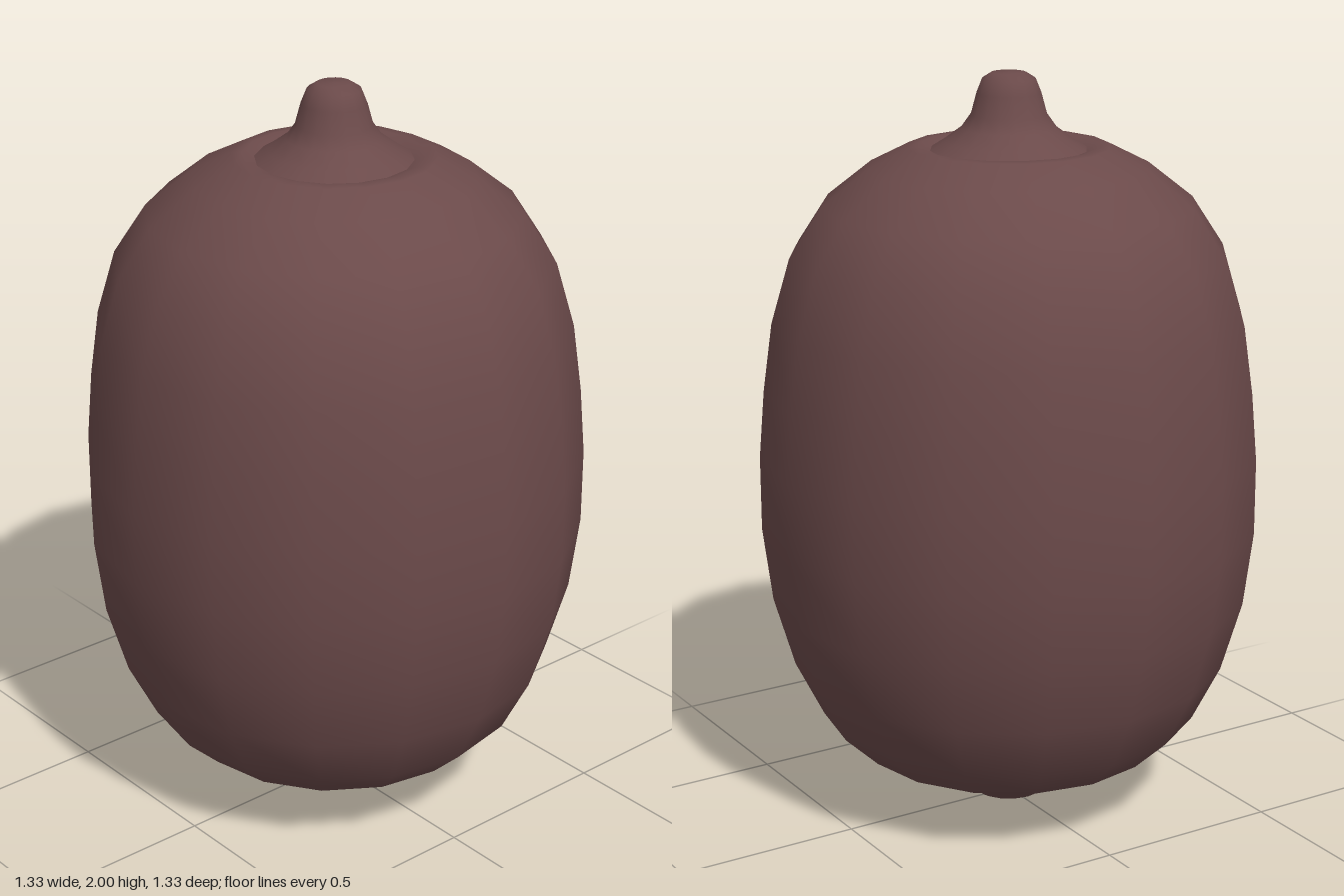
import * as THREE from 'three';

const SIDES = 16;

// Smooth surface of revolution from [radius, height] pairs, bottom to top
function turned(name, profile, material) {
  const points = profile.map(([r, y]) => new THREE.Vector2(r, y));
  const mesh = new THREE.Mesh(new THREE.LatheGeometry(points, SIDES), material);
  mesh.name = name;
  return mesh;
}

export function createModel() {
  const group = new THREE.Group();
  group.name = 'fruit';
  const skin = new THREE.MeshStandardMaterial({ color: 0x6b4a4a });

  // Plump body with a small blossom end below and a shallow hollow on top
  group.add(turned('body', [
    [0, 0.012], [0.03, 0.008], [0.065, 0], [0.1, 0.012], [0.145, 0.045], [0.195, 0.078],
    [0.3, 0.12], [0.415, 0.17], [0.51, 0.26], [0.585, 0.41], [0.64, 0.6],
    [0.665, 0.8], [0.665, 1.0], [0.65, 1.18], [0.625, 1.36], [0.575, 1.53],
    [0.49, 1.66], [0.37, 1.755], [0.265, 1.808], [0.235, 1.81], [0.205, 1.8],
  ], skin));

  // Flared stem rising from the hollow
  group.add(turned('stem', [
    [0.205, 1.8], [0.17, 1.822], [0.125, 1.855], [0.1, 1.89],
    [0.085, 1.945], [0.07, 1.982], [0.045, 1.998], [0, 2.0],
  ], skin));

  return group;
}
